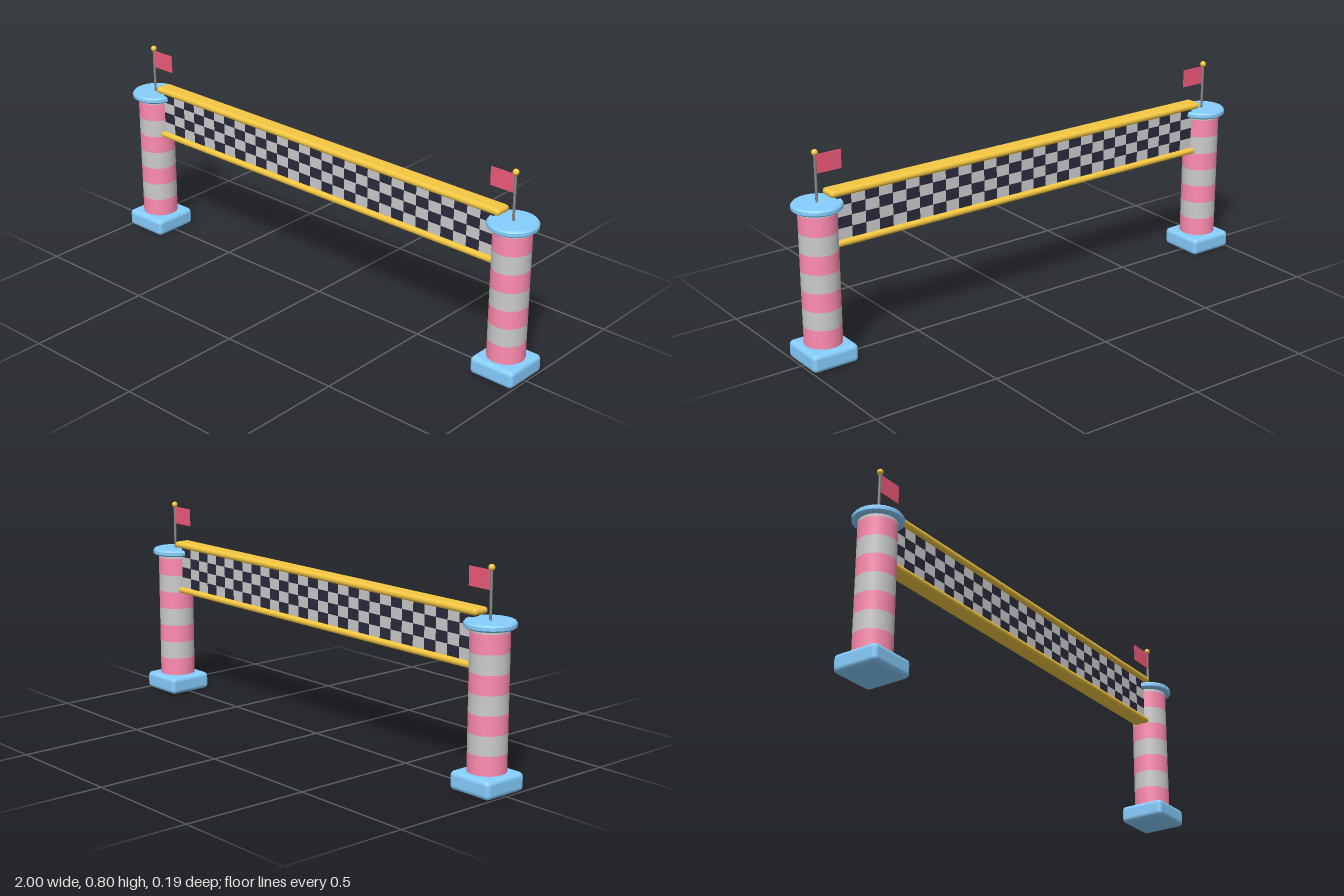
import * as THREE from 'three';
import { RoundedBoxGeometry } from 'three/addons/geometries/RoundedBoxGeometry.js';
import { toCreasedNormals } from 'three/addons/utils/BufferGeometryUtils.js';

const mat = (color) => new THREE.MeshStandardMaterial({ color });
const blue = mat(0x87ceff), pink = mat(0xff8cb0), grey = mat(0xcccccc), yellow = mat(0xf5c842);
const dark = mat(0x2a2a3c), steel = mat(0x888888), red = mat(0xf05a7a);

function add(parent, name, geometry, material, x = 0, y = 0, z = 0) {
  const mesh = new THREE.Mesh(geometry, material);
  mesh.name = name;
  mesh.position.set(x, y, z);
  parent.add(mesh);
  return mesh;
}

// One striped pillar with its base, cap and flag; side is +1 or -1
function createPillar(side) {
  const g = new THREE.Group();
  g.name = side > 0 ? 'leftPillar' : 'rightPillar';
  g.position.x = side * 0.906;

  add(g, 'base', new RoundedBoxGeometry(0.188, 0.07, 0.188, 3, 0.018), blue, 0, 0.035);

  // Alternating bands, the last one mostly hidden by the cap
  const band = 0.0716;
  for (let i = 0; i < 8; i++) {
    const h = i < 7 ? band : 0.015;
    const ring = new THREE.CylinderGeometry(0.071, 0.071, h, 32);
    add(g, 'band' + (i + 1), ring, i % 2 ? grey : pink, 0, 0.072 + i * band + h / 2);
  }

  // Disc cap with bevelled rim
  const profile = [[0, 0.584], [0.086, 0.584], [0.093, 0.59], [0.093, 0.602], [0.087, 0.609], [0, 0.609]]
    .map(([r, y]) => new THREE.Vector2(r, y));
  add(g, 'cap', toCreasedNormals(new THREE.LatheGeometry(profile, 40), 0.6), blue);

  // Flag pointing towards the middle of the gate
  add(g, 'flagPole', new THREE.CylinderGeometry(0.005, 0.005, 0.185, 12), steel, 0, 0.7);
  add(g, 'poleBall', new THREE.SphereGeometry(0.012, 16, 12), yellow, 0, 0.792);
  add(g, 'flag', new THREE.BoxGeometry(0.104, 0.07, 0.004), red, -side * 0.052, 0.748);
  return g;
}

// Checkered banner made of blocks
function createBanner() {
  const g = new THREE.Group();
  g.name = 'banner';
  const cols = 29, rows = 4, width = 1.67, bottom = 0.452, height = 0.172;
  const w = width / cols, h = height / rows;
  const cell = new THREE.BoxGeometry(w, h, 0.036);
  for (let r = 0; r < rows; r++) {
    for (let c = 0; c < cols; c++) {
      const isDark = (r + c) % 2 === 1;
      add(g, isDark ? 'darkCheck' : 'lightCheck', cell, isDark ? dark : grey,
        -width / 2 + (c + 0.5) * w, bottom + (r + 0.5) * h);
    }
  }
  return g;
}

export function createModel() {
  const model = new THREE.Group();
  model.name = 'finishGate';
  model.add(createPillar(1), createPillar(-1), createBanner());

  // Padded rails along the banner edges
  add(model, 'topRail', new RoundedBoxGeometry(1.732, 0.026, 0.07, 2, 0.0125), yellow, 0, 0.632);
  add(model, 'bottomRail', new RoundedBoxGeometry(1.7, 0.024, 0.07, 2, 0.0115), yellow, 0, 0.441);
  return model;
}
